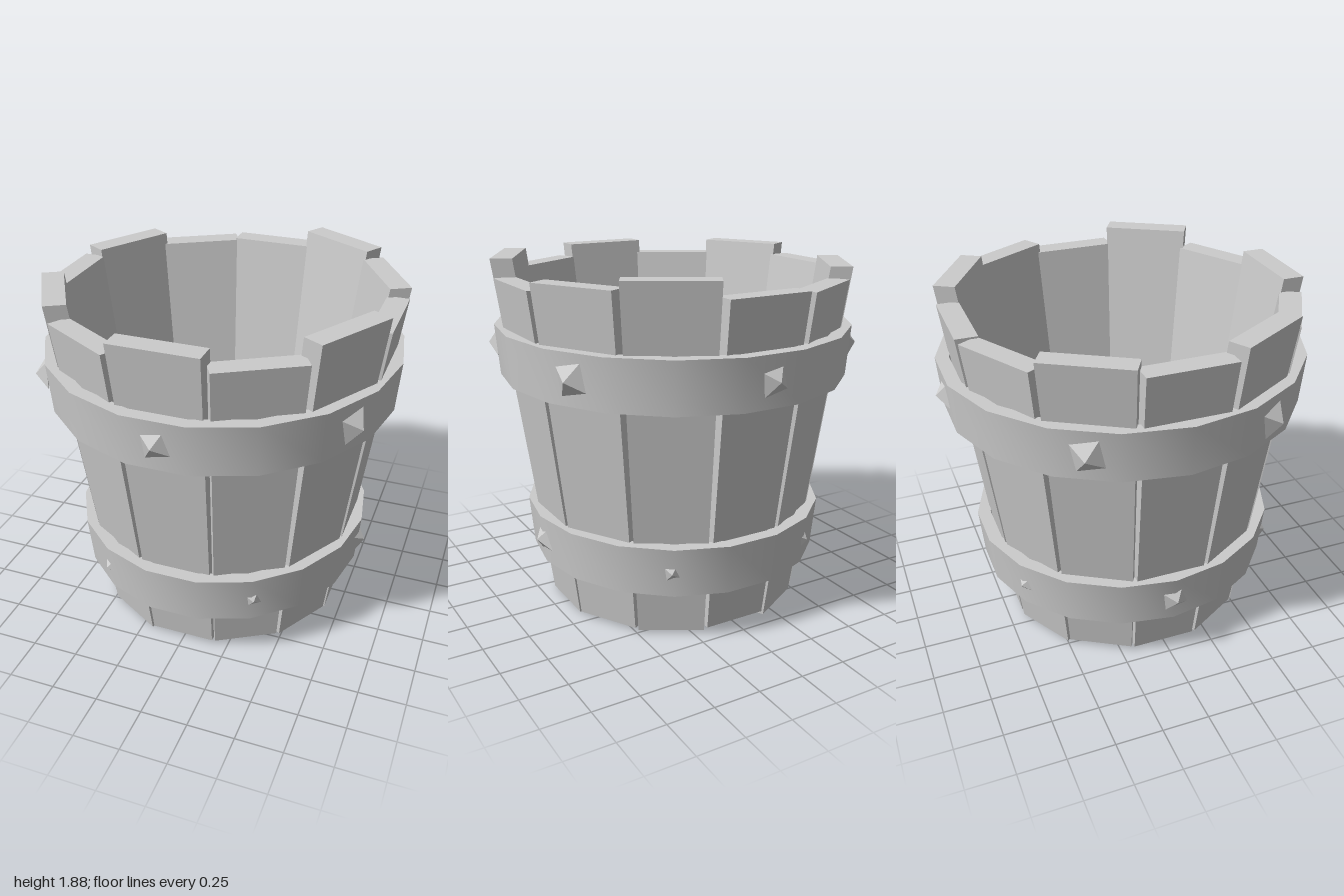
import * as THREE from 'three';
import { toCreasedNormals } from 'three/addons/utils/BufferGeometryUtils.js';

const STEP = Math.PI / 6;
const material = new THREE.MeshStandardMaterial({ color: 0xcccccc });

// Outer distance of the staves from the axis at height y
const outerAt = (y) => 0.67 + 0.137 * y;
const THICKNESS = 0.115;

// One tapered, outward-leaning plank facing +z
function staveGeometry(bottom, top) {
  const geo = new THREE.BoxGeometry(1, 1, 1);
  const p = geo.attributes.position;
  for (let i = 0; i < p.count; i++) {
    const y = p.getY(i) > 0 ? top : bottom;
    const width = 0.342 + 0.061 * y;
    const z = outerAt(y) - (p.getZ(i) > 0 ? 0 : THICKNESS);
    p.setXYZ(i, p.getX(i) * width - 0.005, y, z);
  }
  geo.computeVertexNormals();
  return geo;
}

// Closed 18-sided hoop, sharp at the rims and smooth around
function bandGeometry(y0, y1, r0, r1, wall) {
  const profile = [[r0, y0], [r1, y1], [r1 - wall, y1], [r0 - wall, y0], [r0, y0]]
    .map(([r, y]) => new THREE.Vector2(r, y));
  const geo = new THREE.LatheGeometry(profile, 18, Math.PI / 2);
  geo.scale(1, 1, 1.03);
  return toCreasedNormals(geo, 0.7);
}

// Half depth of the twelve-sided floor at x
function floorDepth(x, apothem) {
  let d = Infinity;
  for (let k = 0; k <= 2; k++) {
    d = Math.min(d, (apothem - Math.abs(x) * Math.sin(k * STEP)) / Math.cos(k * STEP));
  }
  return d;
}

// Floor board between two x positions, cut to the twelve-sided outline
function floorBoardGeometry(xa, xb, apothem) {
  const corner = apothem / Math.cos(STEP / 2);
  const xs = [xa, xb];
  for (let k = 0; k < 6; k++) {
    const x = corner * Math.cos(STEP * (k + 0.5));
    if (x > xa && x < xb) xs.push(x);
  }
  xs.sort((a, b) => a - b);
  const front = xs.map((x) => new THREE.Vector2(x, -floorDepth(x, apothem)));
  const back = xs.map((x) => new THREE.Vector2(x, floorDepth(x, apothem))).reverse();
  const geo = new THREE.ExtrudeGeometry(new THREE.Shape([...front, ...back]), {
    depth: 0.08, bevelEnabled: false,
  });
  return geo.rotateX(-Math.PI / 2);
}

export function createModel() {
  const model = new THREE.Group();
  model.name = 'bucket';

  const add = (parent, name, geo) => {
    const mesh = new THREE.Mesh(geo, material);
    mesh.name = name;
    parent.add(mesh);
    return mesh;
  };
  const addGroup = (name) => {
    const group = new THREE.Group();
    group.name = name;
    model.add(group);
    return group;
  };

  // Staves with uneven ends, counted from the front towards +x
  const tops = [1.857, 1.785, 1.88, 1.785, 1.83, 1.875, 1.79, 1.78, 1.84, 1.8, 1.86, 1.785];
  const bottoms = [0.025, 0.025, 0.02, 0.012, 0.02, 0.01, 0.025, 0, 0.02, 0.02, 0.02, 0.005];
  const staves = addGroup('staves');
  tops.forEach((top, i) => {
    add(staves, 'stave', staveGeometry(bottoms[i], top)).rotation.y = i * STEP;
  });

  // Floor boards running front to back
  const floor = addGroup('floor');
  const seams = [-0.605, -0.33, -0.012, 0.302, 0.605];
  for (let i = 0; i < 4; i++) {
    const board = floorBoardGeometry(seams[i] + 0.003, seams[i + 1] - 0.003, 0.61);
    add(floor, 'floorBoard', board).position.y = 0.14;
  }

  // Two hoops
  add(model, 'upperBand', bandGeometry(1.26, 1.53, 0.925, 0.947, 0.07));
  add(model, 'lowerBand', bandGeometry(0.275, 0.54, 0.785, 0.81, 0.07));

  // Pyramid studs, six per hoop, staggered by one stave
  const studGeo = new THREE.ConeGeometry(0.1, 0.06, 4).toNonIndexed();
  studGeo.rotateY(Math.PI / 4 + 0.22).rotateX(Math.PI / 2);
  studGeo.computeVertexNormals();
  const addStuds = (name, y, tip, offset) => {
    const studs = addGroup(name);
    for (let i = 0; i < 6; i++) {
      const a = (i * 2 + offset) * STEP;
      const r = tip - 0.03;
      const stud = add(studs, 'stud', studGeo);
      stud.position.set(Math.sin(a) * r, y, Math.cos(a) * r);
      stud.rotation.y = a;
    }
  };
  addStuds('upperStuds', 1.4, 1.0, 0);
  addStuds('lowerStuds', 0.41, 0.835, 1);

  return model;
}
